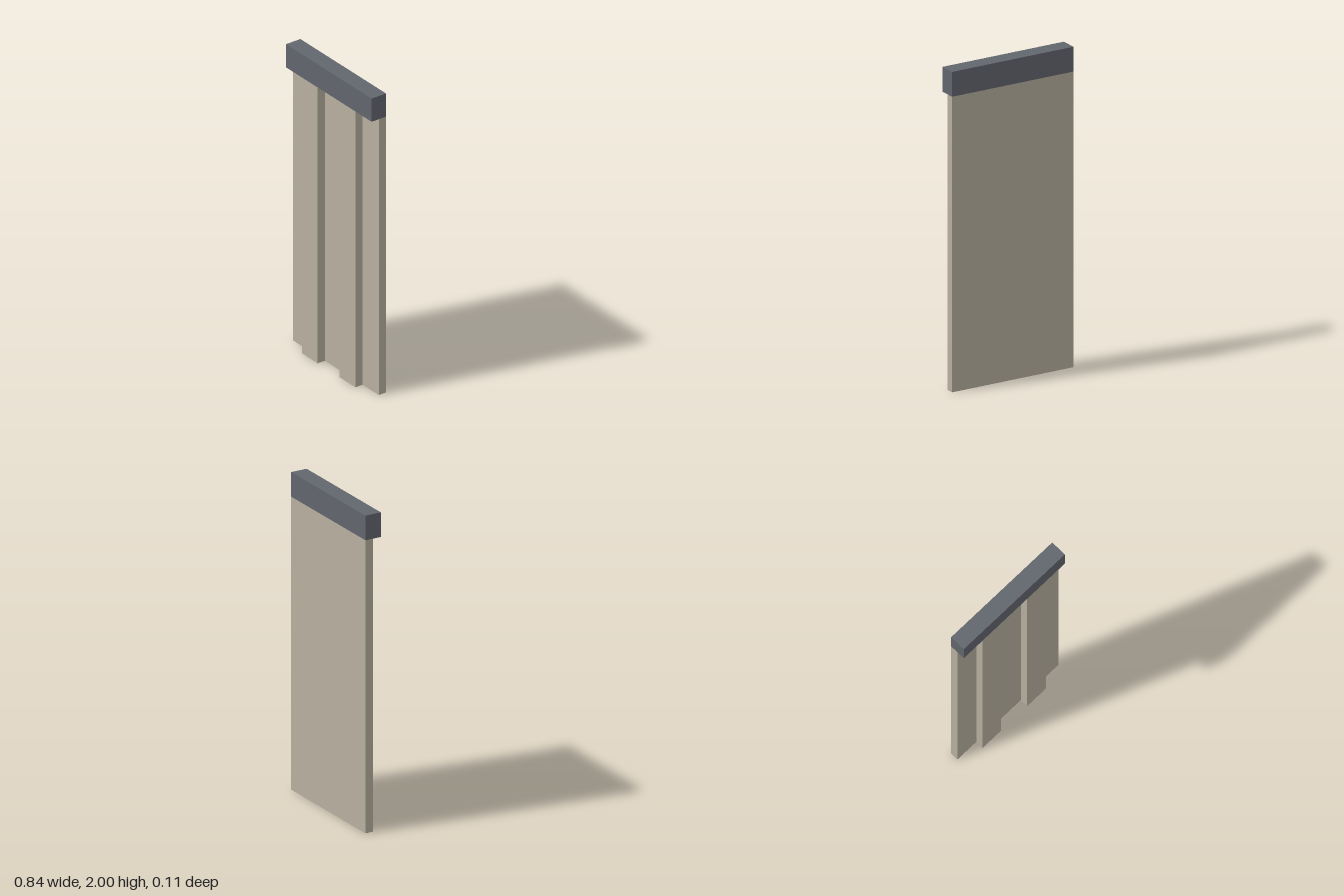
import * as THREE from 'three';

export function createModel() {
  const model = new THREE.Group();
  model.name = 'ribbedWallPanel';
  const beige = new THREE.MeshStandardMaterial({ name: 'warm beige', color: 0xb8b0a0 });
  const grey = new THREE.MeshStandardMaterial({ name: 'slate grey', color: 0x62666d });

  const width = 0.84, half = 0.053, panelTop = 1.845, height = 2;

  // Box given by its lower and upper corners
  function addBox(name, material, [x0, y0, z0], [x1, y1, z1]) {
    const mesh = new THREE.Mesh(new THREE.BoxGeometry(x1 - x0, y1 - y0, z1 - z0), material);
    mesh.position.set((x0 + x1) / 2, (y0 + y1) / 2, (z0 + z1) / 2);
    mesh.name = name;
    model.add(mesh);
  }

  // Flat back sheet
  addBox('backSheet', beige, [-width / 2, 0, -half], [width / 2, panelTop, 0]);

  // Two raised ribs on the front
  for (const [name, x] of [['rightRib', -0.186], ['leftRib', 0.184]]) {
    addBox(name, beige, [x - 0.077, 0, 0], [x + 0.077, panelTop, half]);
  }

  // Cap rail along the top, covering sheet and ribs
  addBox('topRail', grey, [-width / 2, panelTop, -half], [width / 2, height, half]);

  return model;
}
